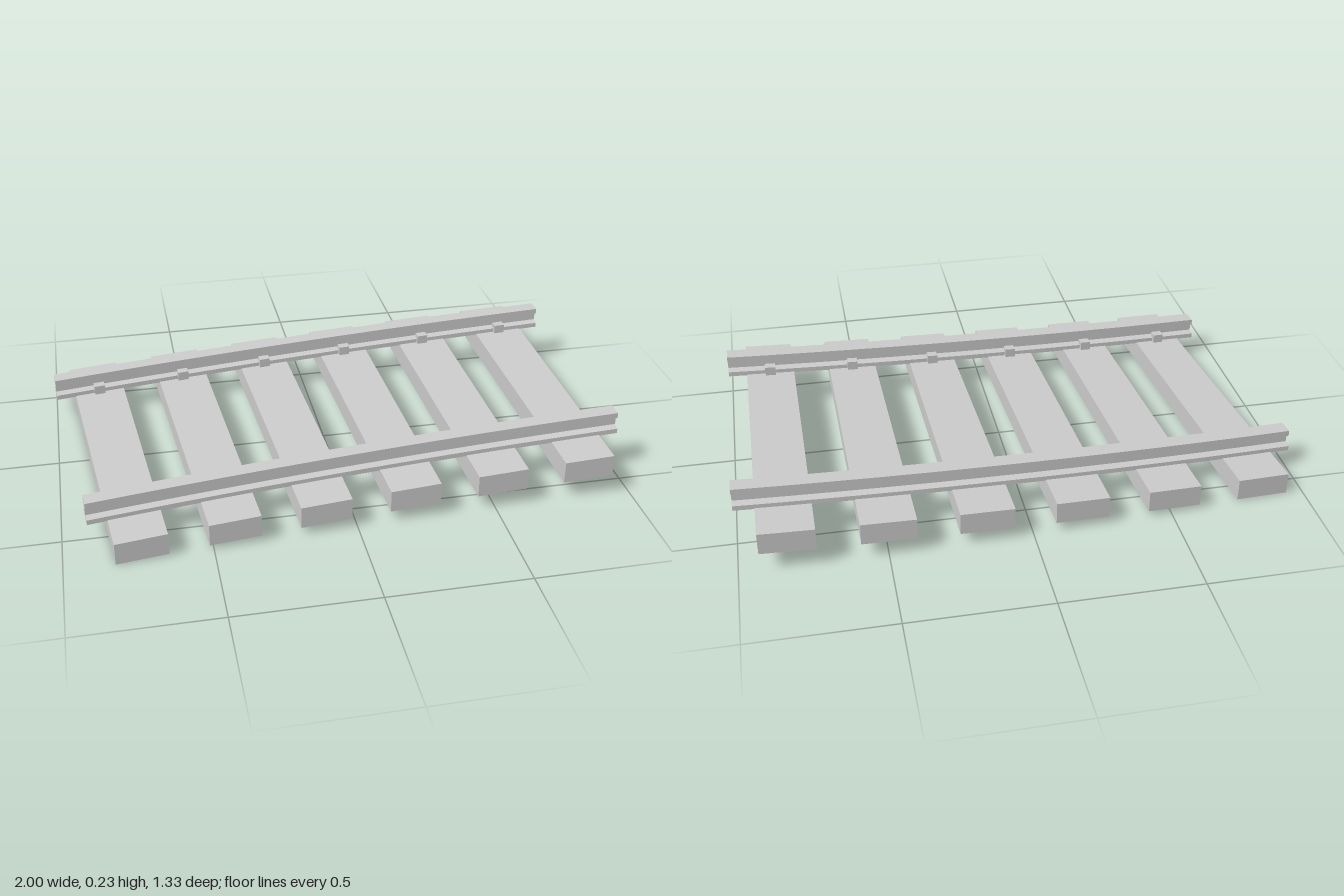
import * as THREE from 'three';

const RADIUS = 20.835;   // curve radius of the track centre line
const LENGTH = 1.958;    // length along the centre line
const SLOPE = 0.0408;    // fall per unit of length
const CENTRE_Z = -0.042; // centre line at the high end
const FOOT_Y = 0.154;    // underside of the rails at the high end
const SLEEPERS = 6;

// Bends a straight piece (x = minus distance from the high end, z = sideways)
// round the curve and drops it along the slope.
function bend(geometry) {
  const g = geometry.index ? geometry.toNonIndexed() : geometry;
  const p = g.attributes.position;
  for (let i = 0; i < p.count; i++) {
    const s = -p.getX(i);
    const r = RADIUS - p.getZ(i);
    const t = s / RADIUS;
    p.setXYZ(i, 1 - r * Math.sin(t), p.getY(i) - SLOPE * s, CENTRE_Z + RADIUS - r * Math.cos(t));
  }
  g.computeVertexNormals();
  return g;
}

export function createModel() {
  const track = new THREE.Group();
  track.name = 'railTrack';
  const material = new THREE.MeshStandardMaterial({ color: 0xcccccc, flatShading: true });

  const add = (name, geometry) => {
    const mesh = new THREE.Mesh(bend(geometry), material);
    mesh.name = name;
    track.add(mesh);
  };
  const block = (name, length, height, width, s, y, z) =>
    add(name, new THREE.BoxGeometry(length, height, width).translate(-s, y, z));

  // Rail section: foot, web and head, mirrored about its middle
  const half = [
    [0.0385, 0], [0.0385, 0.018], [0.014, 0.024],
    [0.014, 0.05], [0.028, 0.057], [0.028, 0.078],
  ];
  const outline = [...half, ...half.map(([x, y]) => [-x, y]).reverse()];
  const section = new THREE.Shape(outline.map(([x, y]) => new THREE.Vector2(x, y)));

  for (const side of [1, -1]) {
    const label = side > 0 ? 'front' : 'rear';
    const rail = new THREE.ExtrudeGeometry(section, { depth: LENGTH, steps: 12, bevelEnabled: false });
    rail.rotateY(-Math.PI / 2).translate(0, FOOT_Y, side * 0.438);
    add(label + 'Rail', rail);
  }

  // Sleepers, each with a clip on the inner side of both rails
  const spacing = LENGTH / SLEEPERS;
  for (let i = 0; i < SLEEPERS; i++) {
    const s = (i + 0.5) * spacing;
    block('sleeper' + (i + 1), 0.185, 0.08, 1.243, s, 0.117, 0);
    for (const side of [1, -1]) {
      const label = side > 0 ? 'front' : 'rear';
      block(label + 'Clip' + (i + 1), 0.04, 0.036, 0.032, s, 0.173, side * 0.4);
    }
  }
  return track;
}
